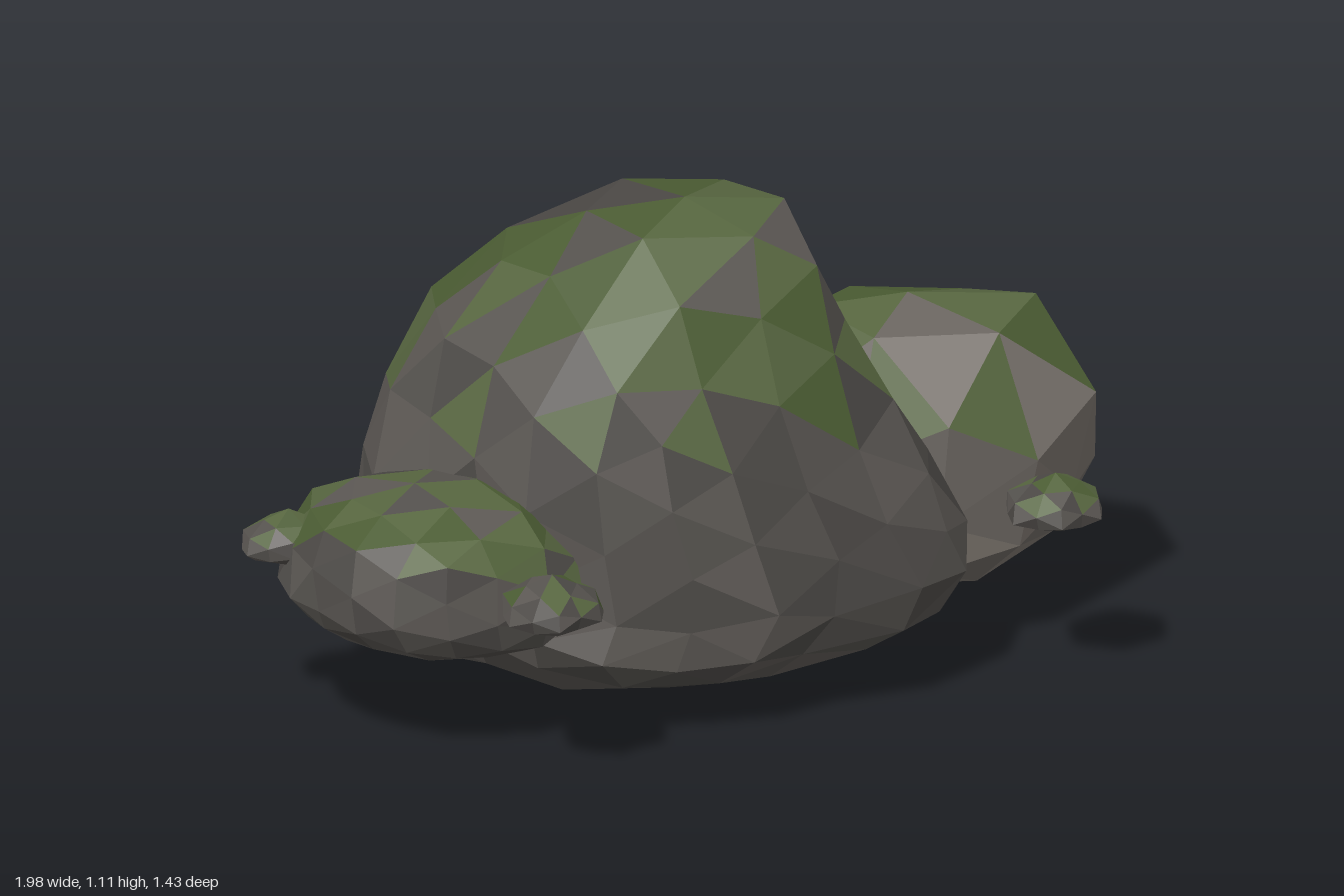
import * as THREE from 'three';

const STONE = [0x54514d, 0x4b4845, 0x5b5753];
const PALE = [0x746e68, 0x69645f, 0x7a736c];
const MOSS = [0x4b5c33, 0x56653f];

// Small seeded random generator
function seeded(seed) {
  return () => ((seed = (seed * 16807) % 2147483647) - 1) / 2147483646;
}

// Point where the ray (dx, dz) leaves an outline whose corners run round the origin
function outlinePoint(outline, dx, dz) {
  for (let i = 0; i < outline.length; i++) {
    const [ax, az] = outline[i], [bx, bz] = outline[(i + 1) % outline.length];
    if (ax * dz - az * dx >= -1e-6 && dx * bz - dz * bx >= -1e-6) {
      const ex = bx - ax, ez = bz - az;
      const t = (ax * ez - az * ex) / (dx * ez - dz * ex);
      return [dx * t, dz * t];
    }
  }
  return [dx, dz];
}

// Level rows are [s, y, x0, x1, z0, z1], with s running from 0 (bottom) to 1 (top)
function levelAt(levels, s) {
  let i = 0;
  while (i < levels.length - 2 && s > levels[i + 1][0]) i++;
  const a = levels[i], b = levels[i + 1];
  const k = (s - a[0]) / (b[0] - a[0]);
  return a.map((v, j) => v + (b[j] - v) * k);
}

// Faceted rock: a subdivided icosahedron fitted to levels, faces sorted by colour
function makeRock({ name, outline, levels, detail, rough, stone = STONE, moss, mossFrom, seed }) {
  const geo = new THREE.IcosahedronGeometry(1, detail);
  const pos = geo.attributes.position;
  const v = new THREE.Vector3();
  const points = [];
  for (let i = 0; i < pos.count; i++) {
    v.fromBufferAttribute(pos, i).normalize();
    const s = Math.asin(THREE.MathUtils.clamp(v.y, -1, 1)) / Math.PI + 0.5;
    const [, y, x0, x1, z0, z1] = levelAt(levels, s);
    const h = Math.hypot(v.x, v.z);
    const [px, pz] = h < 1e-4 ? [0, 0] : outlinePoint(outline, v.x / h, v.z / h);
    // smooth-valued bumps, identical for shared corners
    const n = Math.sin(9 * v.x + 11 * v.z + 5 * v.y + seed) * Math.sin(13 * v.y - 7 * v.x + seed * 2);
    const m = Math.sin(12 * v.z - 8 * v.x + seed * 3);
    const k = 1 + rough * n;
    points.push(new THREE.Vector3(
      (x0 + x1) / 2 + (x1 - x0) / 2 * px * k,
      y + rough * 0.5 * m * h * (levels.at(-1)[1] - levels[0][1]),
      (z0 + z1) / 2 + (z1 - z0) / 2 * pz * k));
  }

  const random = seeded(seed * 7919 + 13);
  const faces = new Map();
  const tri = new THREE.Triangle();
  for (let i = 0; i < points.length; i += 3) {
    tri.set(points[i], points[i + 1], points[i + 2]);
    tri.getNormal(v);
    const middle = (tri.a.y + tri.b.y + tri.c.y) / 3;
    const mossy = v.y > 0.33 && middle > mossFrom && random() < moss;
    const tones = mossy ? MOSS : stone;
    const color = tones[Math.floor(random() * tones.length)];
    if (!faces.has(color)) faces.set(color, []);
    faces.get(color).push(tri.a.clone(), tri.b.clone(), tri.c.clone());
  }

  const rock = new THREE.Group();
  rock.name = name;
  for (const [color, list] of faces) {
    const part = new THREE.BufferGeometry().setFromPoints(list);
    part.computeVertexNormals();
    const mesh = new THREE.Mesh(part, new THREE.MeshStandardMaterial({ color, flatShading: true }));
    mesh.name = name + (MOSS.includes(color) ? 'Moss' : 'Stone');
    rock.add(mesh);
  }
  return rock;
}

export function createModel() {
  const group = new THREE.Group();
  group.name = 'rockCluster';

  // Tall central boulder
  group.add(makeRock({
    name: 'mainBoulder', detail: 3, rough: 0.025, moss: 0.6, mossFrom: 0.7, seed: 3,
    outline: [[-0.8, -0.77], [-0.46, -0.81], [-0.04, -1], [0.3, -0.87], [0.75, -0.4], [1, 0.2],
      [1, 0.44], [0.76, 0.7], [0.34, 0.93], [-0.12, 1], [-0.42, 0.95], [-0.8, 0.45],
      [-1, 0.16], [-1, -0.3], [-0.92, -0.6]],
    levels: [
      [0, 0, 0.02, 0.02, -0.1, -0.1],
      [0.09, 0.02, -0.28, 0.22, -0.32, 0.1],
      [0.22, 0.1, -0.56, 0.43, -0.42, 0.33],
      [0.34, 0.18, -0.69, 0.58, -0.52, 0.41],
      [0.46, 0.31, -0.69, 0.69, -0.6, 0.4],
      [0.6, 0.54, -0.68, 0.55, -0.57, 0.38],
      [0.72, 0.77, -0.6, 0.42, -0.52, 0.31],
      [0.83, 0.98, -0.36, 0.32, -0.45, 0.21],
      [0.91, 1.09, -0.18, 0.27, -0.33, 0.08],
      [1, 1.11, 0.03, 0.03, -0.1, -0.1]],
  }));

  // Pale boulder at the back left
  group.add(makeRock({
    name: 'backBoulder', detail: 1, rough: 0.01, stone: PALE, moss: 0.8, mossFrom: 0.55, seed: 8,
    outline: [[-0.95, -0.5], [-0.85, -0.7], [-0.2, -1], [0.92, -0.25], [1, 0.13], [0.6, 0.8],
      [0.1, 1], [-0.75, 0.7], [-1, 0]],
    levels: [
      [0, 0.09, 0.52, 0.52, -0.34, -0.34],
      [0.18, 0.13, 0.3, 0.8, -0.6, -0.1],
      [0.35, 0.22, 0.22, 0.93, -0.7, 0.01],
      [0.5, 0.33, 0.18, 1, -0.75, 0.01],
      [0.67, 0.55, 0.2, 1.02, -0.64, 0.01],
      [0.82, 0.74, 0.34, 0.86, -0.5, -0.16],
      [1, 0.765, 0.56, 0.56, -0.32, -0.32]],
  }));

  // Low mossy rock at the front right
  group.add(makeRock({
    name: 'sideRock', detail: 2, rough: 0.02, moss: 0.75, mossFrom: 0.38, seed: 5,
    outline: [[-0.85, -0.8], [-0.3, -1], [0.35, -0.85], [0.85, -0.3], [1, 0.6], [0.6, 0.9],
      [0.05, 1], [-0.5, 0.87], [-0.92, 0.35], [-1, -0.2]],
    levels: [
      [0, 0.2, -0.52, -0.52, 0.22, 0.22],
      [0.18, 0.22, -0.72, -0.36, 0.06, 0.38],
      [0.35, 0.27, -0.86, -0.27, -0.03, 0.48],
      [0.5, 0.35, -0.92, -0.26, -0.08, 0.51],
      [0.66, 0.48, -0.9, -0.27, -0.08, 0.49],
      [0.84, 0.56, -0.75, -0.38, 0.04, 0.38],
      [1, 0.59, -0.53, -0.53, 0.18, 0.18]],
  }));

  // Three flat pebbles: [x, z, half width, half depth]
  const pebbles = [[-0.365, 0.6, 0.115, 0.13], [0.825, 0.155, 0.11, 0.11], [-0.89, 0.13, 0.11, 0.085]];
  pebbles.forEach(([x, z, w, d], i) => {
    const row = (s, y, k) => [s, y, x - w * k, x + w * k, z - d * k, z + d * k];
    group.add(makeRock({
      name: 'pebble' + (i + 1), detail: 1, rough: 0.04, moss: 0.55, mossFrom: 0.42, seed: 11 + i,
      outline: [[-1, -0.4], [-0.4, -1], [0.4, -0.95], [1, -0.3], [0.9, 0.5], [0.3, 0.9], [-0.3, 1], [-0.9, 0.6]],
      levels: [row(0, 0.385, 0), row(0.3, 0.395, 0.72), row(0.5, 0.415, 1.02),
        row(0.68, 0.455, 0.9), row(0.83, 0.485, 0.5), row(1, 0.507, 0)],
    }));
  });

  return group;
}
